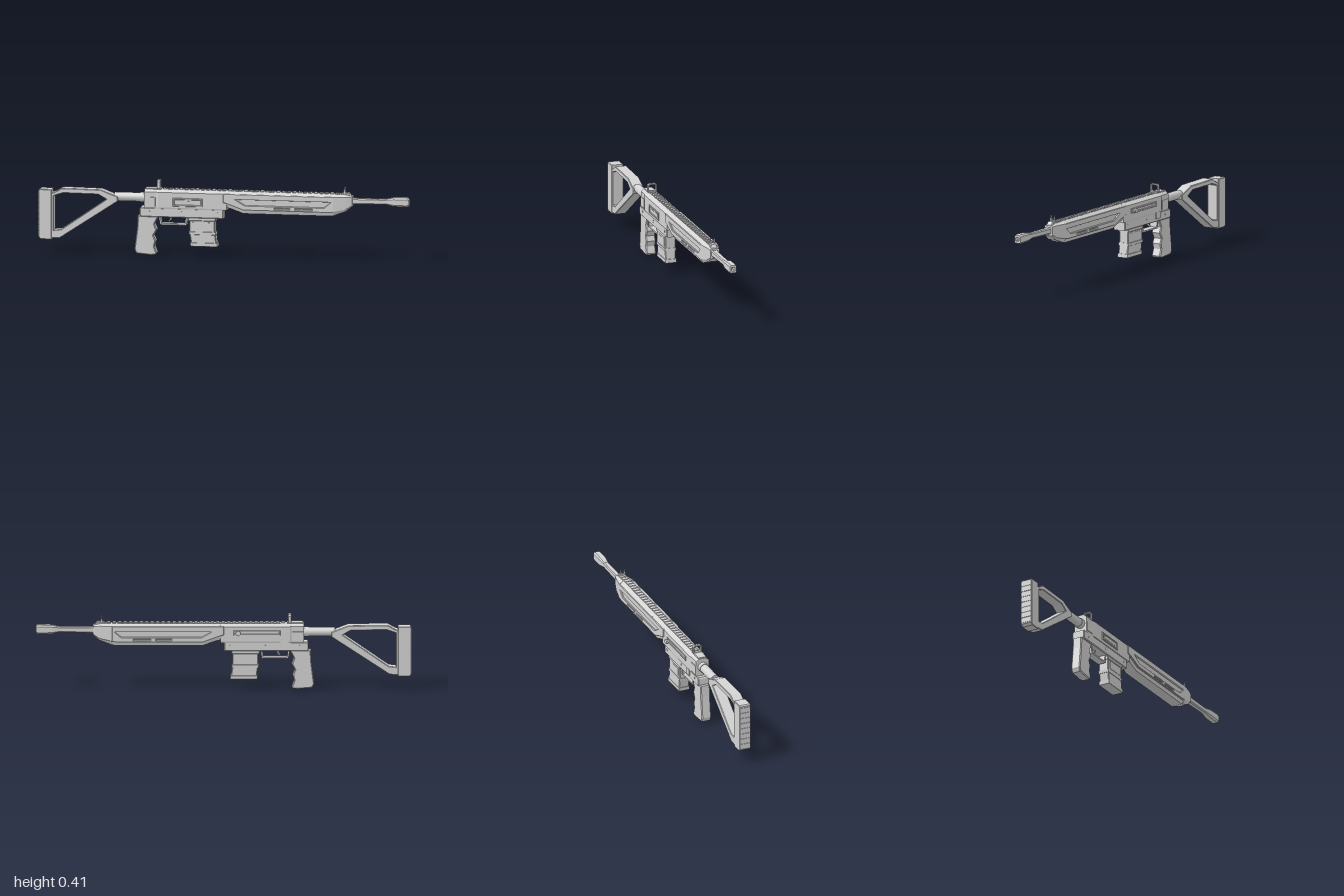
import * as THREE from 'three';

const metal = new THREE.MeshStandardMaterial({ color: 0xd4d4d4 });
metal.name = 'grey metal';

export function createModel() {
  const root = new THREE.Group();
  root.name = 'rifle';
  const body = new THREE.Group();
  body.name = 'body';
  body.position.z = 0.009;
  root.add(body);

  const add = (name, geo, x = 0, y = 0, z = 0) => {
    const m = new THREE.Mesh(geo, metal);
    m.name = name;
    m.position.set(x, y, z);
    body.add(m);
    return m;
  };
  const box = (name, x0, x1, y0, y1, w, z = 0) =>
    add(name, new THREE.BoxGeometry(x1 - x0, y1 - y0, w), (x0 + x1) / 2, (y0 + y1) / 2, z);

  // Counter-clockwise outline, so that the walls of holes face into the holes
  const outline = pts => {
    const v = pts.map(p => new THREE.Vector2(p[0], p[1]));
    return THREE.ShapeUtils.isClockWise(v) ? v.reverse() : v;
  };
  // Side outline extruded across z, centred on z, with a small bevel kept inside the outline
  const slab = (name, pts, w, bevel = 0, holes = [], z = 0) => {
    const s = new THREE.Shape(outline(pts));
    holes.forEach(h => s.holes.push(new THREE.Path(outline(h))));
    const g = new THREE.ExtrudeGeometry(s, {
      depth: w - 2 * bevel, bevelEnabled: bevel > 0, bevelSize: bevel,
      bevelThickness: bevel, bevelOffset: -bevel, bevelSegments: 1,
    });
    g.translate(0, 0, -w / 2 + bevel);
    return add(name, g, 0, 0, z);
  };

  // Eight-sided cross-section, and a flat-shaded loft through such sections along x
  const section = (x, wt, yt, w, yu, yl, wb, yb) => [
    [yt, -wt], [yt, wt], [yu, w], [yl, w], [yb, wb], [yb, -wb], [yl, -w], [yu, -w],
  ].map(([y, z]) => [x, y, z]);
  const octagon = (x, y, h, w, c = 0.35) =>
    section(x, w * (1 - c), y + h, w, y + h * (1 - c), y - h * (1 - c), w * (1 - c), y - h);
  const loft = (name, rings) => {
    const n = 8, index = [], last = (rings.length - 1) * n;
    for (let r = 0; r < rings.length - 1; r++) for (let i = 0; i < n; i++) {
      const a = r * n + i, b = r * n + (i + 1) % n;
      index.push(a, b, a + n, b, b + n, a + n);
    }
    for (let i = 1; i < n - 1; i++) index.push(0, i + 1, i, last, last + i, last + i + 1);
    let g = new THREE.BufferGeometry();
    g.setAttribute('position', new THREE.Float32BufferAttribute(rings.flat(2), 3));
    g.setIndex(index);
    g = g.toNonIndexed();
    g.computeVertexNormals();
    return add(name, g);
  };

  // Shoulder stock: open triangular frame and butt pad with shallow ribs
  slab('stockFrame', [[-0.93, 0.318], [-0.91, 0.325], [-0.87, 0.348], [-0.66, 0.345], [-0.57, 0.31],
    [-0.57, 0.285], [-0.88, 0.08], [-0.93, 0.076]], 0.062, 0.003,
  [[[-0.915, 0.305], [-0.865, 0.322], [-0.675, 0.32], [-0.63, 0.295], [-0.875, 0.125], [-0.915, 0.12]]]);
  slab('buttPad', [[-0.997, 0.082], [-0.985, 0.07], [-0.925, 0.07], [-0.925, 0.34], [-0.99, 0.34],
    [-0.997, 0.334]], 0.066, 0.003);
  for (let i = 0; i < 8; i++) box('buttRib', -1, -0.996, 0.088 + i * 0.0305, 0.113 + i * 0.0305, 0.06);

  // Stock tube and collar
  const tube = (name, x0, x1, r, y) =>
    add(name, new THREE.CylinderGeometry(r, r, x1 - x0, 16).rotateZ(Math.PI / 2), (x0 + x1) / 2, y);
  tube('stockTube', -0.59, -0.41, 0.024, 0.308);
  tube('stockCollar', -0.45, -0.42, 0.027, 0.308);

  // Upper receiver, narrower at its rear end
  const receiver = (x, w) => section(x, 0.02, 0.357, w, 0.343, 0.262, w - 0.002, 0.255);
  loft('upperReceiver', [receiver(-0.425, 0.037), receiver(-0.36, 0.037), receiver(-0.35, 0.042),
    receiver(0.02, 0.042)]);
  for (const s of [1, -1]) box('rearBlock', -0.42, -0.365, 0.265, 0.315, 0.006, s * 0.037);

  // Ejection port frame on the front side, bolt slot on the other
  const rect = (x0, y0, x1, y1) => [[x0, y0], [x1, y0], [x1, y1], [x0, y1]];
  slab('portFrame', rect(-0.27, 0.27, -0.11, 0.315), 0.01, 0.002,
    [rect(-0.26, 0.279, -0.12, 0.306)], 0.041);
  box('portCover', -0.25, -0.13, 0.286, 0.3, 0.004, 0.042);
  slab('boltSlot', rect(-0.3, 0.295, -0.05, 0.322), 0.01, 0.002,
    [rect(-0.293, 0.303, -0.057, 0.314)], -0.041);

  // Charging handle
  const across = (name, x, y, z, r, w) =>
    add(name, new THREE.CylinderGeometry(r, r, w, 12).rotateX(Math.PI / 2), x, y, z);
  across('handleRod', -0.075, 0.31, -0.05, 0.006, 0.026);
  across('handleKnob', -0.075, 0.31, -0.059, 0.014, 0.01);

  // Lower receiver with pins and selector
  slab('lowerReceiver', [[-0.45, 0.215], [-0.44, 0.208], [0, 0.208], [0, 0.258], [-0.445, 0.258],
    [-0.45, 0.25]], 0.073, 0.004);
  for (const s of [1, -1]) for (const x of [-0.4, -0.22, -0.03])
    across('pin', x, 0.236, s * 0.0365, 0.006, 0.004);
  box('selector', -0.34, -0.3, 0.225, 0.262, 0.008, -0.039);

  // Pistol grip with finger grooves
  slab('grip', [[-0.462, 0.212], [-0.35, 0.212], [-0.372, 0.168], [-0.36, 0.137], [-0.377, 0.105],
    [-0.365, 0.078], [-0.373, 0.048], [-0.36, 0.012], [-0.366, 0.003], [-0.39, 0], [-0.47, 0.007],
    [-0.48, 0.03], [-0.465, 0.15]], 0.054, 0.005);

  // Trigger guard and trigger
  slab('triggerGuard', [[-0.35, 0.21], [-0.342, 0.165], [-0.2, 0.165], [-0.195, 0.21], [-0.205, 0.21],
    [-0.208, 0.173], [-0.335, 0.173], [-0.34, 0.21]], 0.042);
  slab('trigger', [[-0.295, 0.21], [-0.278, 0.21], [-0.283, 0.192], [-0.296, 0.18], [-0.3, 0.185],
    [-0.29, 0.196]], 0.012);

  // Magazine: well, body, band and base
  slab('magazineWell', rect(-0.19, 0.192, -0.04, 0.215), 0.064, 0.003);
  slab('magazine', [[-0.183, 0.2], [-0.045, 0.2], [-0.045, 0.135], [-0.036, 0.06], [-0.172, 0.06],
    [-0.183, 0.13]], 0.058, 0.004);
  slab('magazineBand', [[-0.186, 0.134], [-0.042, 0.134], [-0.04, 0.118], [-0.184, 0.118]], 0.063, 0.001);
  slab('magazineBase', [[-0.179, 0.075], [-0.034, 0.075], [-0.032, 0.055], [-0.177, 0.055]], 0.063, 0.001);
  for (const s of [1, -1]) box('magazineRib', -0.165, -0.06, 0.145, 0.185, 0.004, s * 0.029);

  // Handguard: faceted core, full width at the front, then tapering to a squarish nose
  const guard = (x, w, yb) => section(x, 0.02, 0.357, w, 0.345, yb + 0.024, 0.031, yb);
  loft('handguard', [guard(-0.01, 0.038, 0.275), guard(0.04, 0.038, 0.265), guard(0.11, 0.038, 0.24),
    guard(0.57, 0.038, 0.24), guard(0.592, 0.038, 0.241), guard(0.592, 0.046, 0.241),
    section(0.66, 0.02, 0.356, 0.034, 0.345, 0.278, 0.025, 0.266), octagon(0.695, 0.32, 0.027, 0.025, 0.2)]);
  // Side plates with a long window and two vent slots
  for (const s of [1, -1])
    slab('handguardPlate', [[0, 0.346], [0.597, 0.346], [0.597, 0.262], [0.57, 0.259], [0.11, 0.259],
      [0.04, 0.285], [0, 0.298]], 0.012, 0.003,
    [[[0.065, 0.316], [0.582, 0.316], [0.545, 0.286], [0.12, 0.286]],
      rect(0.28, 0.27, 0.36, 0.275), rect(0.39, 0.27, 0.48, 0.275)], s * 0.04);

  // Top rail with shallow cross teeth
  box('railBase', -0.34, 0.66, 0.35, 0.3575, 0.036);
  for (let i = 0; i < 34; i++) {
    const x = -0.325 + i * 0.029;
    box('railTooth', x, x + 0.019, 0.355, 0.361, 0.036);
  }

  // Rear sight: chamfered square ring on a base
  const ring = (w, y0, y1, c) => [[-w + c, y0], [w - c, y0], [w, y0 + c], [w, y1 - c],
    [w - c, y1], [-w + c, y1], [-w, y1 - c], [-w, y0 + c]];
  const rear = slab('rearSight', ring(0.026, 0.352, 0.405, 0.009), 0.018, 0.002,
    [ring(0.018, 0.365, 0.397, 0.005)]);
  rear.rotation.y = Math.PI / 2;
  rear.position.x = -0.35;
  box('rearSightBase', -0.42, -0.335, 0.352, 0.362, 0.044);

  // Front sight: base, centre post and two pointed prongs
  slab('frontSightBase', [[0.62, 0.35], [0.69, 0.345], [0.675, 0.366], [0.64, 0.366]], 0.034, 0.004);
  const spike = (name, z, top, r) => add(name,
    new THREE.CylinderGeometry(r * 0.35, r, top - 0.36, 4).toNonIndexed().rotateY(Math.PI / 4),
    0.651, (top + 0.36) / 2, z).geometry.computeVertexNormals();
  for (const s of [1, -1]) spike('frontSightProng', s * 0.0105, 0.395, 0.008);
  spike('frontSightPost', 0, 0.381, 0.004);

  // Barrel and muzzle device with a square bore
  loft('barrel', [octagon(0.68, 0.32, 0.019, 0.019), octagon(0.72, 0.32, 0.016, 0.016),
    octagon(0.91, 0.322, 0.014, 0.014)]);
  loft('muzzle', [octagon(0.875, 0.322, 0.015, 0.015), octagon(0.915, 0.322, 0.023, 0.021),
    octagon(0.985, 0.322, 0.025, 0.021), octagon(1, 0.322, 0.021, 0.019),
    octagon(1, 0.322, 0.01, 0.01, 0.2), octagon(0.96, 0.322, 0.01, 0.01, 0.2)]);

  return root;
}
